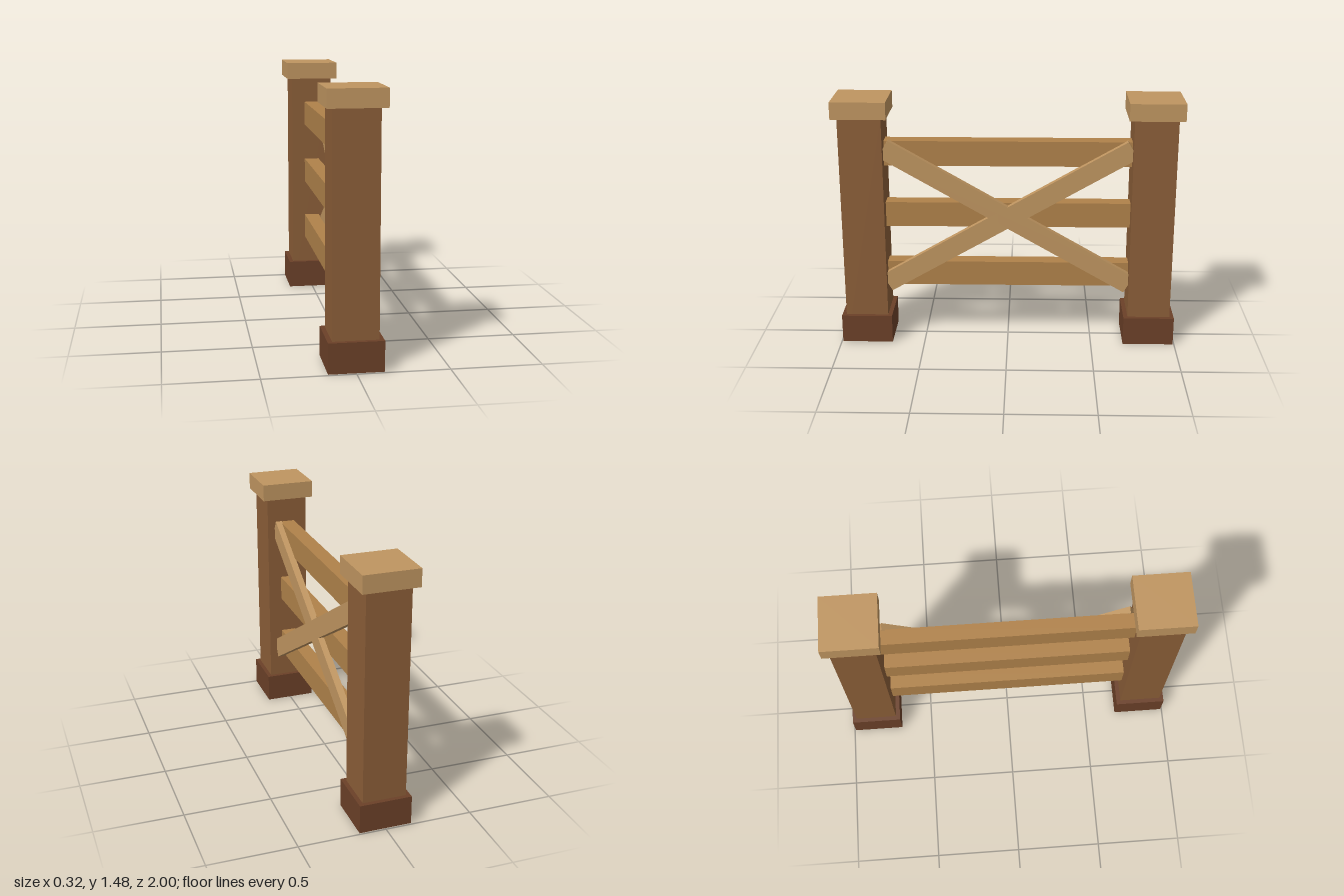
import * as THREE from 'three';

const material = (color) => new THREE.MeshStandardMaterial({ color, flatShading: true });

export function createModel() {
  const group = new THREE.Group();
  const postWood = material(0x8b5e38);
  const baseWood = material(0x6b4028);
  const railWood = material(0xb0824a);
  const lightWood = material(0xbf9560);

  const addBox = (name, mat, size, position) => {
    const mesh = new THREE.Mesh(new THREE.BoxGeometry(...size), mat);
    mesh.name = name;
    mesh.position.set(...position);
    group.add(mesh);
    return mesh;
  };

  // Two posts, each with a wider foot and a cap
  for (const [side, s] of [['front', 1], ['back', -1]]) {
    const z = s * 0.842;
    addBox(side + 'Post', postWood, [0.25, 1.38, 0.25], [0, 0.69, z]);
    addBox(side + 'PostBase', baseWood, [0.3, 0.168, 0.3], [0, 0.086, z]);
    addBox(side + 'PostCap', lightWood, [0.316, 0.1, 0.316], [0, 1.43, z]);
  }

  // Three horizontal rails between the posts
  ['lower', 'middle', 'upper'].forEach((level, i) => {
    addBox(level + 'Rail', railWood, [0.09, 0.148, 1.436], [0, 0.41 + i * 0.372, 0]);
  });

  // Crossed diagonal braces on the left face of the rails
  for (const [name, s] of [['risingBrace', 1], ['fallingBrace', -1]]) {
    const brace = addBox(name, lightWood, [0.04, 0.115, 1.66], [0.061, 0.774, 0]);
    brace.rotation.x = s * Math.PI / 6;
  }

  return group;
}
